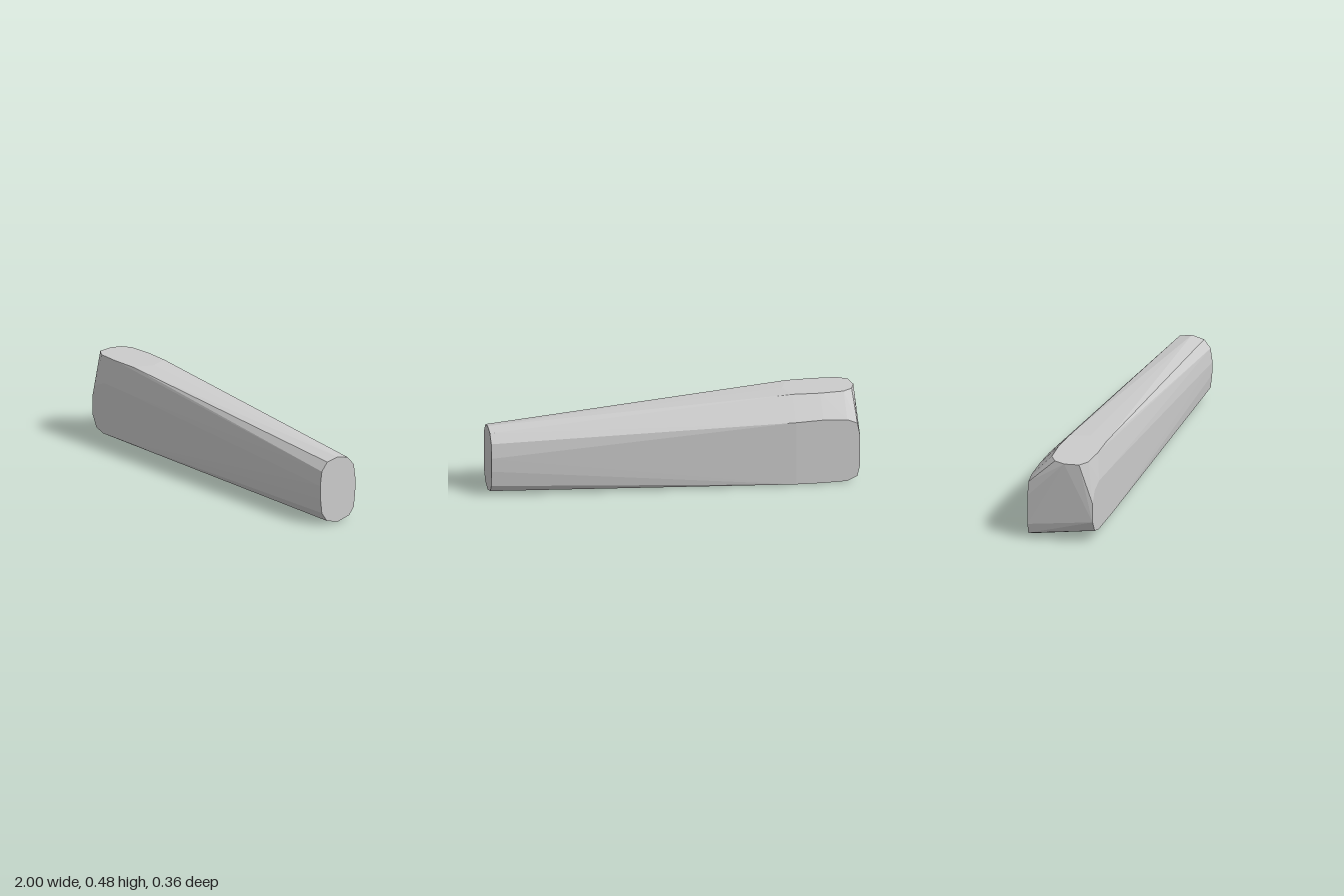
import * as THREE from 'three';
import { ConvexGeometry } from 'three/addons/geometries/ConvexGeometry.js';

// Flat facets lying on the planes that bound the bar
const endCap = [ // (z, y) at x = 1
  [0.045, 0], [-0.035, 0.022], [-0.067, 0.063], [-0.077, 0.15], [-0.078, 0.225], [-0.067, 0.305], [-0.025, 0.352],
  [0.045, 0.367], [0.115, 0.352], [0.152, 0.305], [0.163, 0.225], [0.161, 0.15], [0.152, 0.07], [0.118, 0.02],
];
const topPad = [ // (x, z) at y = 0.48
  [-0.65, -0.065], [-0.8, -0.074], [-0.93, -0.065], [-0.98, -0.03], [-1, 0.03],
  [-0.985, 0.11], [-0.93, 0.145], [-0.8, 0.153], [-0.65, 0.148], [-0.61, 0.04],
];
const frontPad = [ // (x, y) at z = 0.18
  [-0.65, 0.335], [-0.86, 0.342], [-0.93, 0.315], [-0.963, 0.25],
  [-0.963, 0.14], [-0.93, 0.075], [-0.87, 0.056], [-0.65, 0.057],
];
const backPad = [ // (x, y) at z = -0.18
  [-0.65, 0.36], [-0.8, 0.365], [-0.93, 0.358], [-0.985, 0.335], [-1, 0.26],
  [-1, 0.09], [-0.985, 0.03], [-0.93, 0.004], [-0.8, 0.001], [-0.65, 0.003],
];

export function createModel() {
  const group = new THREE.Group();
  group.name = 'taperedBar';

  // One faceted solid stretched over the four pads
  const points = [
    ...endCap.map(([z, y]) => new THREE.Vector3(1, y, z)),
    ...topPad.map(([x, z]) => new THREE.Vector3(x, 0.48, z)),
    ...frontPad.map(([x, y]) => new THREE.Vector3(x, y, 0.18)),
    ...backPad.map(([x, y]) => new THREE.Vector3(x, y, -0.18)),
  ];
  const bar = new THREE.Mesh(
    new ConvexGeometry(points),
    new THREE.MeshStandardMaterial({ color: 0xcccccc, flatShading: true }),
  );
  bar.name = 'bar';
  group.add(bar);
  return group;
}
